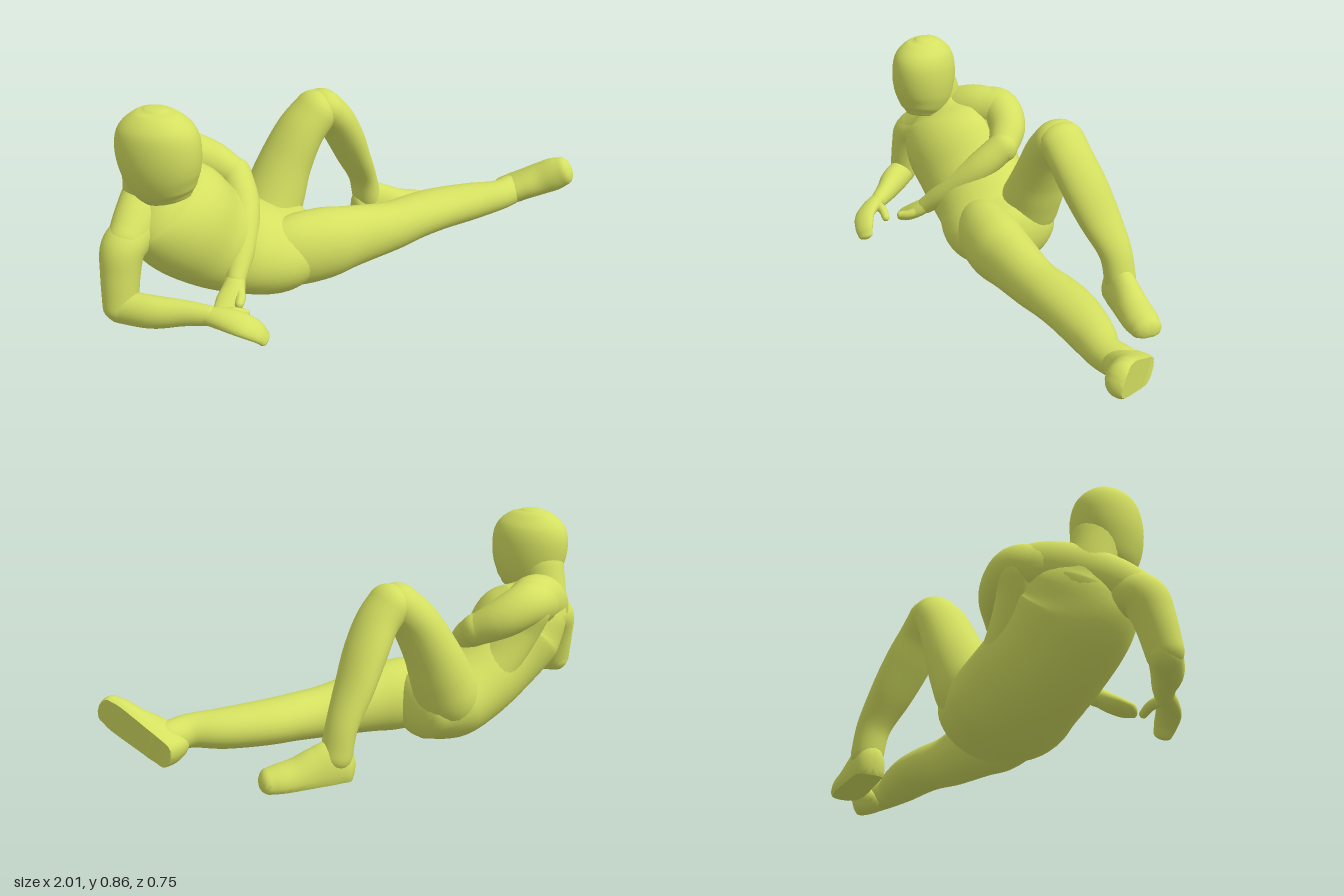
import * as THREE from 'three';
import { toCreasedNormals } from 'three/addons/utils/BufferGeometryUtils.js';

const V = (p) => new THREE.Vector3(p[0], p[1], p[2]);
const skin = new THREE.MeshStandardMaterial({ color: 0xd4e060 });

// Smooth tube through stations [x, y, z, halfWidth, halfDepth, side?], domed at both ends.
// side is the direction of halfWidth; flat cuts the underside for soles.
function loft(stations, { side = [0, 0, 1], caps = [1, 1], flat = 1, sides = 28, steps = 6 } = {}) {
  const curve = (pts) => new THREE.CatmullRomCurve3(pts, false, 'catmullrom', 0.5);
  const path = curve(stations.map(V));
  const size = curve(stations.map((s) => new THREE.Vector3(s[3], s[4], 0)));
  const sideways = curve(stations.map((s) => V(s[5] || side).normalize()));
  const count = (stations.length - 1) * steps;
  const rings = [];
  const dome = 6;
  const ringAt = (t, scale, push) => {
    const tangent = path.getTangent(t);
    const s = sideways.getPoint(t);
    s.addScaledVector(tangent, -s.dot(tangent)).normalize();
    const u = new THREE.Vector3().crossVectors(tangent, s);
    const r = size.getPoint(t);
    const c = path.getPoint(t).addScaledVector(tangent, push * Math.min(r.x, r.y));
    rings.push({ c, s, u, a: r.x * scale, b: r.y * scale, floor: -flat * r.y });
  };
  for (let k = 0; k < dome; k++) {
    const q = (k / dome) * Math.PI / 2;
    ringAt(0, Math.max(Math.sin(q), 0.001), -caps[0] * Math.cos(q));
  }
  for (let i = 0; i <= count; i++) ringAt(i / count, 1, 0);
  for (let k = dome - 1; k >= 0; k--) {
    const q = (k / dome) * Math.PI / 2;
    ringAt(1, Math.max(Math.sin(q), 0.001), caps[1] * Math.cos(q));
  }
  const pos = [], index = [];
  rings.forEach((r, i) => {
    for (let j = 0; j < sides; j++) {
      const q = (j / sides) * Math.PI * 2;
      const p = r.c.clone().addScaledVector(r.s, r.a * Math.cos(q))
        .addScaledVector(r.u, Math.max(r.b * Math.sin(q), r.floor));
      pos.push(p.x, p.y, p.z);
      if (i === rings.length - 1) continue;
      const a = i * sides + j, b = i * sides + (j + 1) % sides;
      index.push(a, b, a + sides, b, b + sides, a + sides);
    }
  });
  const g = new THREE.BufferGeometry();
  g.setAttribute('position', new THREE.Float32BufferAttribute(pos, 3));
  g.setIndex(index);
  g.computeVertexNormals();
  return g;
}

function part(name, geometry, parent) {
  const m = new THREE.Mesh(geometry, skin);
  m.name = name;
  parent.add(m);
  return m;
}

// Foot built along local +x with its sole on local y = 0
function foot(name, heel, forward, up, parent) {
  const flat = 0.35;
  const profile = [[0.045, 0.12, 0.058], [0.09, 0.15, 0.062], [0.15, 0.13, 0.064],
    [0.22, 0.098, 0.068], [0.28, 0.082, 0.069], [0.32, 0.072, 0.061]];
  const rows = profile.map(([x, h, w]) => [x, flat * h / (1 + flat), 0, w, h / (1 + flat)]);
  const g = loft(rows, { side: [0, 0, -1], flat, caps: [0.7, 0.7] });
  const m = part(name, toCreasedNormals(g, 0.8), parent);
  const x = V(forward).normalize();
  const y = V(up).addScaledVector(x, -V(up).dot(x)).normalize();
  m.applyMatrix4(new THREE.Matrix4().makeBasis(x, y, new THREE.Vector3().crossVectors(x, y)).setPosition(V(heel)));
}

// Mitten hand: one curled blade for palm and fingers, plus a thumb
function hand(name, blade, side, thumb, parent) {
  const group = new THREE.Group();
  group.name = name;
  parent.add(group);
  part('palmAndFingers', loft(blade, { side, sides: 20 }), group);
  part('thumb', loft(thumb.map((p, n) => [...p, 0.022 - n * 0.003, 0.022 - n * 0.003]),
    { side: [0, 1, 0], sides: 12, steps: 4 }), group);
}

export function createModel() {
  const body = new THREE.Group();
  body.name = 'recliningFigure';

  // Torso twists from a pelvis lying on its back to a chest facing forward
  part('torso', loft([
    [-0.16, 0.16, -0.1, 0.198, 0.14, [0.05, 0.12, -1]],
    [-0.28, 0.165, -0.112, 0.228, 0.163, [0.12, 0.2, -1]],
    [-0.41, 0.215, -0.13, 0.213, 0.167, [0.38, 0.36, -0.82]],
    [-0.54, 0.3, -0.125, 0.21, 0.177, [0.65, 0.42, -0.62]],
    [-0.64, 0.395, -0.123, 0.215, 0.188, [0.78, 0.4, -0.48]],
    [-0.7, 0.47, -0.142, 0.197, 0.15, [0.78, 0.4, -0.48]],
    [-0.74, 0.53, -0.15, 0.115, 0.1, [0.78, 0.4, -0.48]],
  ], { caps: [0.6, 0.3], sides: 40 }), body);
  part('shoulders', loft([[-0.88, 0.395, -0.065, 0.07, 0.075], [-0.81, 0.445, -0.11, 0.082, 0.092],
    [-0.72, 0.495, -0.17, 0.095, 0.105], [-0.62, 0.535, -0.225, 0.098, 0.105],
    [-0.53, 0.55, -0.277, 0.085, 0.09]], { side: [0.37, 0.3, 0.84] }), body);
  part('backFlank', loft([[-0.55, 0.53, -0.277, 0.088, 0.088], [-0.52, 0.45, -0.25, 0.092, 0.09],
    [-0.46, 0.35, -0.23, 0.098, 0.09], [-0.38, 0.24, -0.215, 0.1, 0.1]]), body);

  // Neck and plain egg-shaped head
  part('neck', loft([[-0.715, 0.45, -0.16, 0.13, 0.115], [-0.745, 0.53, -0.145, 0.092, 0.092],
    [-0.755, 0.64, -0.11, 0.092, 0.092]], { side: [0.86, 0, -0.5] }), body);
  part('head', loft([[-0.728, 0.53, -0.033, 0.07, 0.09], [-0.732, 0.56, -0.039, 0.094, 0.115],
    [-0.738, 0.61, -0.046, 0.114, 0.138], [-0.743, 0.68, -0.05, 0.125, 0.154],
    [-0.744, 0.75, -0.053, 0.122, 0.153], [-0.743, 0.8, -0.056, 0.105, 0.131],
    [-0.742, 0.838, -0.058, 0.068, 0.084], [-0.742, 0.852, -0.058, 0.035, 0.044]],
  { side: [0.86, 0, -0.5], caps: [0.18, 0.18], sides: 36 }), body);

  // Right arm props the body on its elbow
  part('rightUpperArm', loft([[-0.84, 0.405, -0.085, 0.078, 0.078], [-0.9, 0.37, -0.065, 0.08, 0.078],
    [-0.925, 0.285, -0.05, 0.068, 0.07], [-0.942, 0.17, -0.035, 0.056, 0.064]]), body);
  part('rightForearm', loft([[-0.942, 0.165, -0.035, 0.056, 0.06], [-0.87, 0.163, 0.06, 0.055, 0.06],
    [-0.79, 0.168, 0.14, 0.043, 0.047], [-0.73, 0.17, 0.21, 0.034, 0.036]], { side: [0.7, 0, -0.7] }), body);
  hand('rightHand', [[-0.74, 0.17, 0.2, 0.032, 0.03], [-0.7, 0.17, 0.26, 0.043, 0.03],
    [-0.66, 0.158, 0.315, 0.047, 0.025], [-0.62, 0.13, 0.342, 0.042, 0.021], [-0.597, 0.1, 0.35, 0.033, 0.017]],
  [0.5, 0.35, -0.5], [[-0.7, 0.17, 0.24], [-0.65, 0.165, 0.235], [-0.605, 0.15, 0.245]], body);

  // Left arm bends across the belly
  part('leftUpperArm', loft([[-0.62, 0.53, -0.24, 0.09, 0.09], [-0.53, 0.553, -0.287, 0.087, 0.087],
    [-0.43, 0.51, -0.265, 0.078, 0.078], [-0.36, 0.455, -0.195, 0.062, 0.062]]), body);
  part('leftForearm', loft([[-0.36, 0.46, -0.195, 0.062, 0.062], [-0.393, 0.375, -0.09, 0.062, 0.062],
    [-0.465, 0.275, 0.01, 0.052, 0.052], [-0.54, 0.19, 0.08, 0.036, 0.036]]), body);
  hand('leftHand', [[-0.53, 0.2, 0.07, 0.032, 0.032], [-0.57, 0.165, 0.108, 0.044, 0.03],
    [-0.605, 0.142, 0.13, 0.046, 0.025], [-0.638, 0.125, 0.145, 0.036, 0.019]],
  [0.5, -0.2, 0.6], [[-0.55, 0.17, 0.11], [-0.565, 0.155, 0.15], [-0.59, 0.15, 0.18]], body);

  // Right leg stretched out along the ground
  part('rightLeg', loft([[-0.38, 0.18, -0.06, 0.07, 0.09], [-0.25, 0.17, -0.015, 0.11, 0.14],
    [-0.1, 0.168, 0.014, 0.122, 0.144],
    [0.02, 0.165, 0.027, 0.11, 0.125], [0.2, 0.16, 0.045, 0.097, 0.101], [0.33, 0.168, 0.048, 0.102, 0.089],
    [0.45, 0.172, 0.058, 0.102, 0.083], [0.6, 0.175, 0.092, 0.087, 0.075], [0.72, 0.182, 0.13, 0.066, 0.063],
    [0.81, 0.18, 0.12, 0.063, 0.062]]), body);
  foot('rightFoot', [0.84, 0.128, 0.015], [0.45, 0.46, 0.75], [-0.88, 0.075, 0.48], body);

  // Left leg drawn up with its foot planted
  part('leftThigh', loft([[-0.28, 0.12, -0.185, 0.08, 0.08], [-0.222, 0.21, -0.207, 0.125, 0.125],
    [-0.168, 0.32, -0.217, 0.123, 0.118], [-0.118, 0.43, -0.218, 0.114, 0.102],
    [-0.053, 0.55, -0.207, 0.106, 0.088], [0.015, 0.63, -0.192, 0.097, 0.08]]), body);
  part('leftShin', loft([[0.05, 0.638, -0.19, 0.094, 0.073], [0.11, 0.575, -0.193, 0.094, 0.071],
    [0.172, 0.48, -0.212, 0.096, 0.07], [0.235, 0.37, -0.237, 0.088, 0.062],
    [0.305, 0.25, -0.262, 0.069, 0.054], [0.335, 0.14, -0.268, 0.064, 0.058]]), body);
  foot('leftFoot', [0.265, 0.048, -0.284], [0.96, 0, 0.27], [0, 1, 0], body);

  return body;
}
